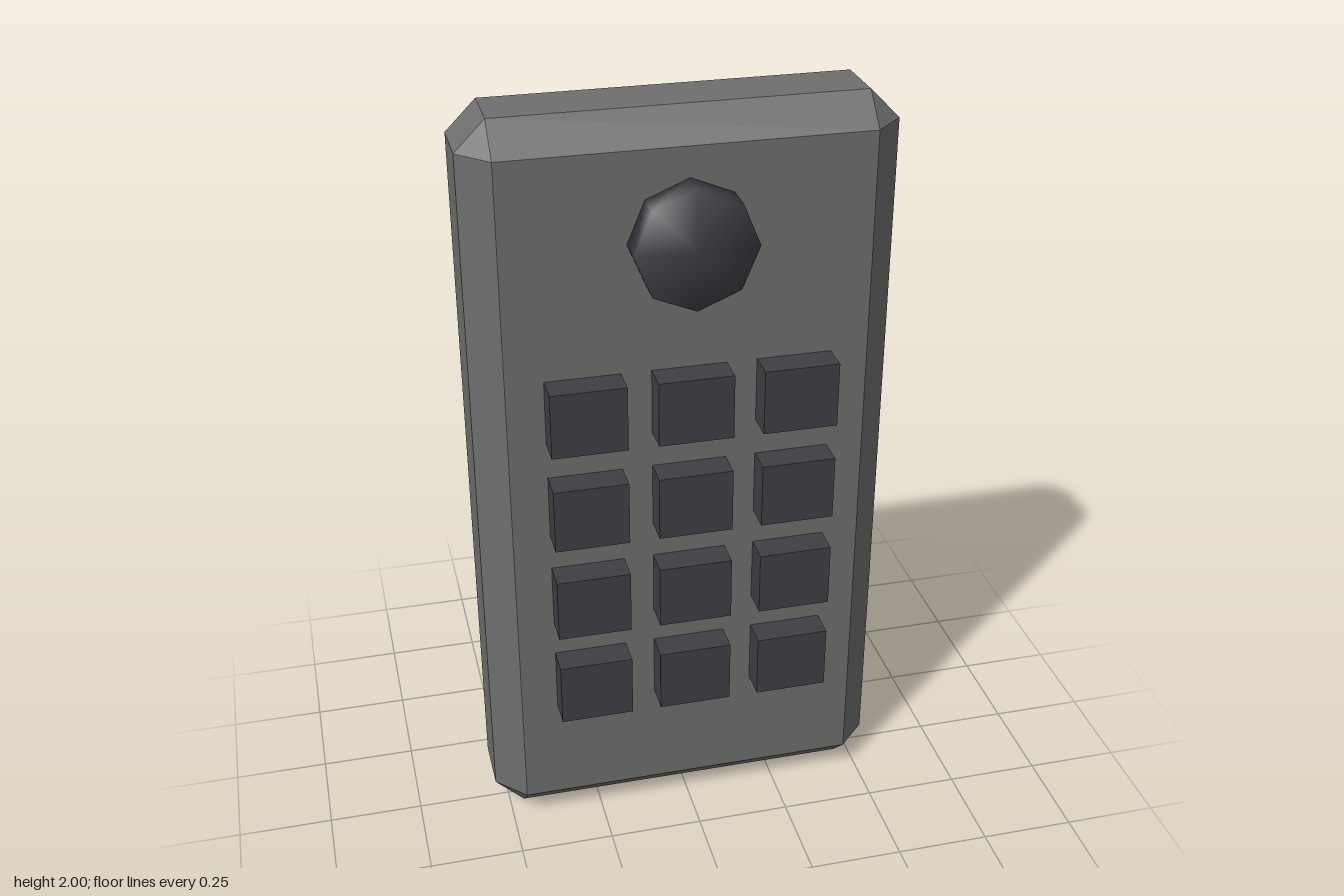
import * as THREE from 'three';
import { mergeVertices } from 'three/addons/utils/BufferGeometryUtils.js';
import { ConvexGeometry } from 'three/addons/geometries/ConvexGeometry.js';

const U = 1 / 13; // base unit: the device is 26 units tall

// Box with every edge cut at 45 degrees and a triangle at each corner
function chamferedBox(w, h, d, c) {
  const points = [];
  for (const sx of [-1, 1]) for (const sy of [-1, 1]) for (const sz of [-1, 1]) {
    const x = w / 2, y = h / 2, z = d / 2;
    points.push(
      new THREE.Vector3(sx * x, sy * (y - c), sz * (z - c)),
      new THREE.Vector3(sx * (x - c), sy * y, sz * (z - c)),
      new THREE.Vector3(sx * (x - c), sy * (y - c), sz * z)
    );
  }
  return new ConvexGeometry(points);
}

// Eight-sided disc facing +z, with normals shared between rim and caps
function smoothDisc(radius, depth) {
  const geometry = new THREE.CylinderGeometry(radius, radius, depth, 8);
  geometry.rotateX(Math.PI / 2);
  geometry.deleteAttribute('normal');
  geometry.deleteAttribute('uv');
  const merged = mergeVertices(geometry, 1e-4);
  merged.computeVertexNormals();
  return merged;
}

export function createModel() {
  const model = new THREE.Group();
  model.name = 'keypadDevice';

  const casing = new THREE.MeshStandardMaterial({ color: 0x6d6f6d });
  casing.name = 'casing grey';
  const dark = new THREE.MeshStandardMaterial({ color: 0x403e44 });
  dark.name = 'button charcoal';

  const add = (name, geometry, material, x, y, z, parent = model) => {
    const mesh = new THREE.Mesh(geometry, material);
    mesh.name = name;
    mesh.position.set(x, y, z);
    parent.add(mesh);
  };

  // Casing
  add('body', chamferedBox(14 * U, 26 * U, 4 * U, U), casing, 0, 13 * U, -0.5 * U);

  // Round knob above the keypad
  add('knob', smoothDisc(2 * U, U), dark, 0, 22 * U, 2 * U);

  // Keypad, four rows of three
  const keypad = new THREE.Group();
  keypad.name = 'keypad';
  model.add(keypad);
  const key = new THREE.BoxGeometry(2.5 * U, 2.25 * U, U);
  for (let row = 0; row < 4; row++) {
    for (let col = -1; col <= 1; col++) {
      add('button', key, dark, col * 3.5 * U, (6 + row * 3.5) * U, 2 * U, keypad);
    }
  }

  return model;
}
